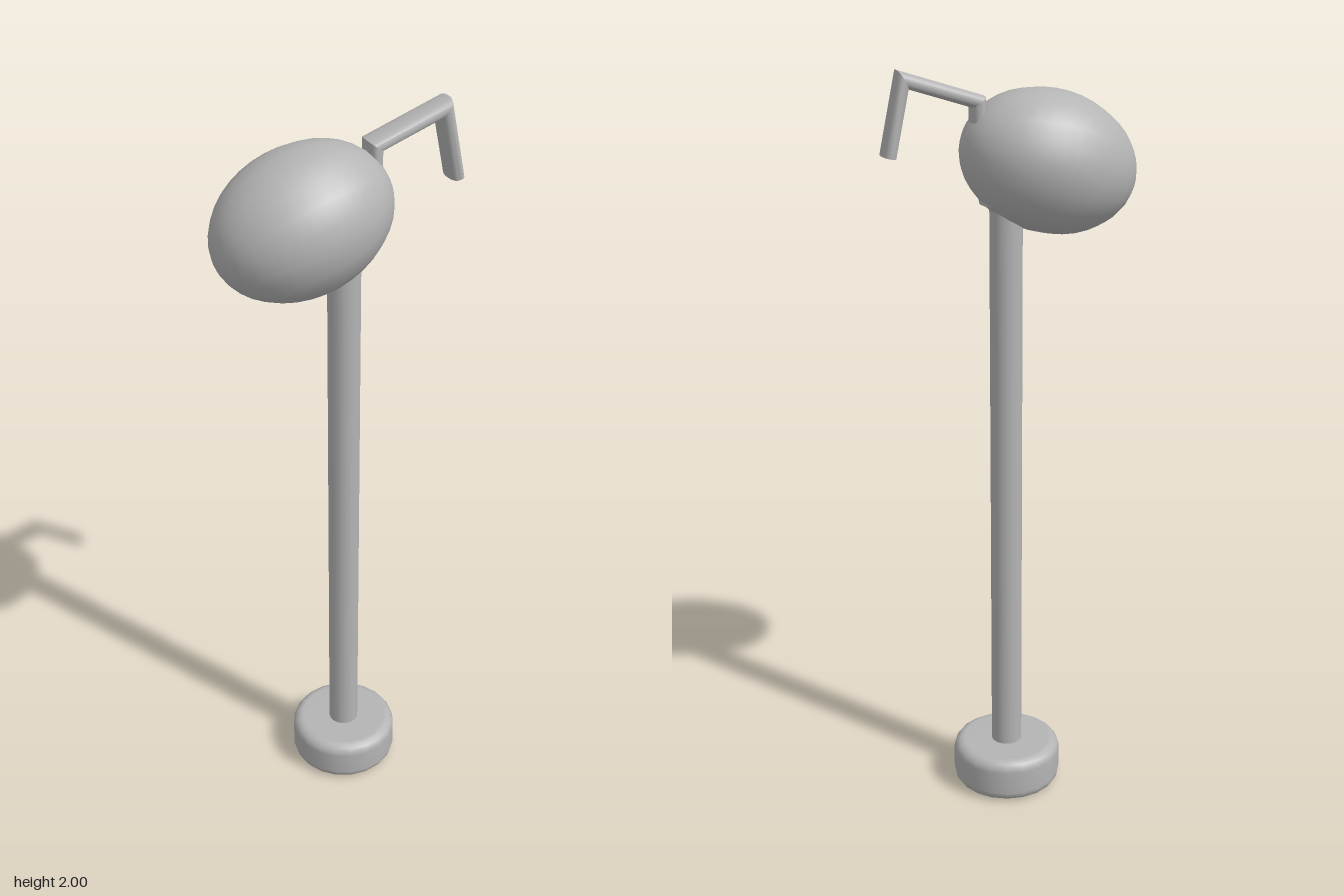
import * as THREE from 'three';
import { toCreasedNormals } from 'three/addons/utils/BufferGeometryUtils.js';

const AXIS_X = 0.009; // centre line of the base and pole

// Flattened bar swept along a bent path in the xy plane, with mitred corners
function bentBar(path, halfThick, halfDepth, sides = 16) {
  const pts = path.map(([x, y]) => new THREE.Vector2(x, y));
  const normal = (a, b) => {
    const d = b.clone().sub(a).normalize();
    return new THREE.Vector2(-d.y, d.x);
  };
  const pos = [], index = [];
  const round = (v) => Math.sign(v) * Math.abs(v) ** 0.8;
  pts.forEach((p, i) => {
    const before = normal(pts[Math.max(i - 1, 0)], pts[Math.max(i, 1)]);
    const after = normal(pts[Math.min(i, pts.length - 2)], pts[Math.min(i + 1, pts.length - 1)]);
    const m = before.clone().add(after).normalize();
    m.multiplyScalar(1 / m.dot(before));
    for (let s = 0; s < sides; s++) {
      const a = (s / sides) * Math.PI * 2;
      const t = round(Math.cos(a)) * halfThick;
      pos.push(p.x + m.x * t, p.y + m.y * t, round(Math.sin(a)) * halfDepth);
    }
  });
  const last = (pts.length - 1) * sides;
  for (let i = 0; i < last; i += sides) {
    for (let s = 0; s < sides; s++) {
      const a = i + s, b = i + ((s + 1) % sides);
      index.push(a, b, a + sides, b, b + sides, a + sides);
    }
  }
  for (let s = 1; s < sides - 1; s++) {
    index.push(0, s + 1, s, last, last + s, last + s + 1);
  }
  // Orient every face outward
  for (let k = 0; k < index.length; k += 3) [index[k + 1], index[k + 2]] = [index[k + 2], index[k + 1]];
  const geo = new THREE.BufferGeometry();
  geo.setAttribute('position', new THREE.Float32BufferAttribute(pos, 3));
  geo.setIndex(index);
  if (signedVolume(pos, index) < 0) {
    geo.setIndex(index.slice().reverse());
  }
  return toCreasedNormals(geo, 0.8);
}

function signedVolume(pos, index) {
  const v = (i) => new THREE.Vector3().fromArray(pos, i * 3);
  let sum = 0;
  for (let k = 0; k < index.length; k += 3) {
    sum += v(index[k]).dot(v(index[k + 1]).cross(v(index[k + 2])));
  }
  return sum;
}

export function createModel() {
  const group = new THREE.Group();
  const grey = new THREE.MeshStandardMaterial({ color: 0xb4b4b4 });
  grey.name = 'grey';
  const add = (name, geo, x = 0, y = 0) => {
    const mesh = new THREE.Mesh(geo, grey);
    mesh.name = name;
    mesh.position.set(x, y, 0);
    group.add(mesh);
    return mesh;
  };

  // Round foot with softened rims
  const R = 0.15, H = 0.125, r = 0.03;
  const profile = [new THREE.Vector2(0, 0)];
  for (const [cy, start] of [[r, -Math.PI / 2], [H - r, 0]]) {
    for (let i = 0; i <= 4; i++) {
      const a = start + (i / 4) * Math.PI / 2;
      profile.push(new THREE.Vector2(R - r + Math.cos(a) * r, cy + Math.sin(a) * r));
    }
  }
  profile.push(new THREE.Vector2(0, H));
  add('base', new THREE.LatheGeometry(profile, 20), AXIS_X);

  // Pole and the small collar tucked under the head
  add('pole', new THREE.CylinderGeometry(0.042, 0.042, 1.59, 20), AXIS_X, 0.895);
  add('collar', new THREE.CylinderGeometry(0.068, 0.068, 0.02, 20), AXIS_X, 1.676);

  // Egg-shaped head, tilted up towards +x
  const egg = new THREE.SphereGeometry(1, 20, 20);
  egg.rotateZ(-Math.PI / 2);
  egg.scale(0.232, 0.178, 0.178);
  add('head', egg, -0.103, 1.763).rotation.z = 0.31;

  // Bent arm: stub, rising bar and hanging tip
  add('arm', bentBar([[0.083, 1.82], [0.083, 1.918], [0.27, 1.977], [0.309, 1.796]], 0.018, 0.036));

  return group;
}
